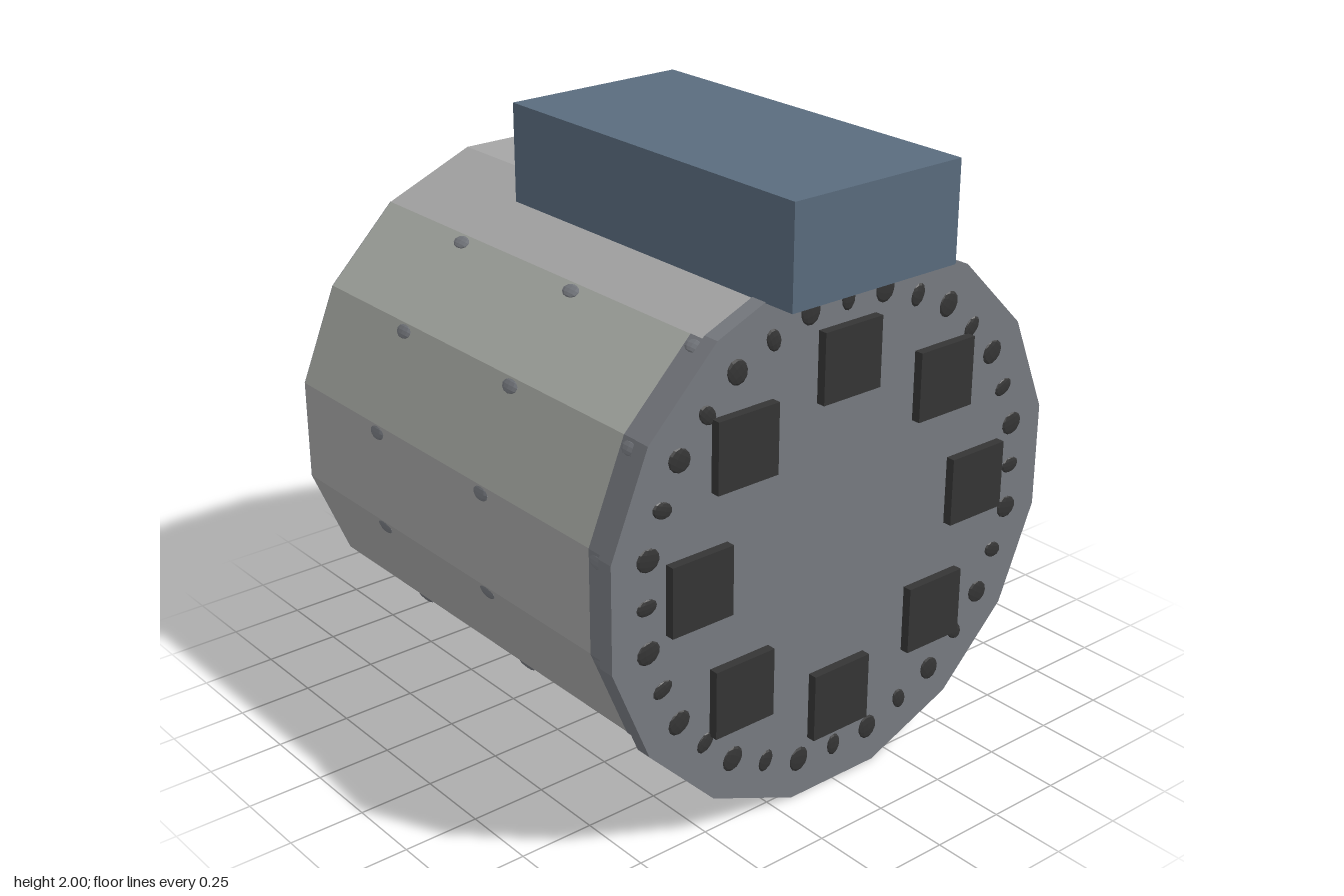
import * as THREE from 'three';

export function createModel() {
  const root = new THREE.Group();
  const mat = (name, color, extra = {}) => {
    const m = new THREE.MeshStandardMaterial({ color, flatShading: true, ...extra });
    m.name = name;
    return m;
  };
  const bodyGrey = mat('bodyGrey', 0xa6a6a6);
  const paleGreenGrey = mat('paleGreenGrey', 0xa9aca6);
  const plateGrey = mat('plateGrey', 0x787b81, { side: THREE.DoubleSide });
  const blue = mat('steelBlue', 0x5a6c7e);
  const dark = mat('darkGrey', 0x353535);

  const CY = 0.873, SIDES = 16, STEP = Math.PI / 8, HALF = Math.PI / 16;
  const add = (name, geo, material, x, y, z, parent = root) => {
    const m = new THREE.Mesh(geo, material);
    m.name = name;
    m.position.set(x, y, z);
    parent.add(m);
    return m;
  };
  const group = (name) => {
    const g = new THREE.Group();
    g.name = name;
    g.position.y = CY;
    root.add(g);
    return g;
  };
  // Sixteen-sided drum lying along z, with flats at top, bottom and sides
  const drum = (r, z0, z1) =>
    new THREE.CylinderGeometry(r, r, z1 - z0, SIDES, 1, false, HALF).rotateX(Math.PI / 2);

  // Main drum, with four paler facets on the upper sides
  const bodyGeo = drum(0.862, -0.89, 0.73);
  const caps = bodyGeo.groups.slice(1);
  bodyGeo.clearGroups();
  for (let i = 0; i < SIDES; i++) bodyGeo.addGroup(i * 6, 6, [4, 5, 9, 10].includes(i) ? 1 : 0);
  caps.forEach((c) => bodyGeo.addGroup(c.start, c.count, 0));
  add('drumBody', bodyGeo, [bodyGrey, paleGreenGrey], 0, CY, -0.08);

  // Front plate and its half collar
  add('frontPlate', drum(0.888, 0.725, 0.78), plateGrey, 0, CY, 0.7525);
  const collar = new THREE.CylinderGeometry(0.864, 0.864, 0.075, 8, 1, true, HALF + 9 * STEP, Math.PI);
  add('halfCollar', collar.rotateX(Math.PI / 2), plateGrey, 0, CY, 0.6875);

  // Narrow strip along one side of the back
  const strip = new THREE.RingGeometry(0.83, 0.862, 5, 1, -2.5 * STEP, 5 * STEP).rotateY(Math.PI);
  add('backEdgeStrip', strip, plateGrey, 0, CY, -0.892);

  // Top box
  add('topBox', new THREE.BoxGeometry(0.64, 0.32, 1.29), blue, 0, 1.84, 0.245);

  // Eight square pads in a circle
  const pads = group('squarePads');
  const padGeo = new THREE.BoxGeometry(0.226, 0.226, 0.035);
  for (let i = 0; i < 8; i++) {
    const a = (i * Math.PI) / 4;
    add('pad', padGeo, dark, 0.563 * Math.cos(a), 0.563 * Math.sin(a), 0.7925, pads);
  }

  // Flattened rivet heads, turned so that local x is radial
  const dome = new THREE.SphereGeometry(1, 10, 6);
  const rivet = (parent, material, a, r, z, sx, sy, sz) => {
    const m = add('rivet', dome, material, r * Math.cos(a), r * Math.sin(a), z, parent);
    m.rotation.z = a;
    m.scale.set(sx, sy, sz);
  };

  // Ring of rivets on the front plate
  const frontRivets = group('frontRivets');
  for (let i = 0; i < 32; i++) {
    const odd = i % 2;
    rivet(frontRivets, dark, i * HALF, odd ? 0.755 : 0.746, 0.78,
      odd ? 0.042 : 0.037, odd ? 0.037 : 0.026, 0.006);
  }

  // Rows of rivets along the drum, the second half turned end for end
  const sideRivets = group('sideRivets');
  for (let k = -2; k < 5; k++) {
    const a = 0.168 + (k - 1) * STEP;
    for (const z of [0.45, -0.12, -0.685]) {
      rivet(sideRivets, plateGrey, a, 0.856, z, 0.008, 0.025, 0.038);
      rivet(sideRivets, plateGrey, Math.PI - a, 0.856, -z, 0.008, 0.025, 0.038);
    }
  }

  // Rivets scattered over the back
  const backRivets = group('backRivets');
  const spots = [
    [0.37, 0.57], [0.17, 0.68], [-0.06, 0.66], [-0.33, 0.61], [0.56, 0.44], [0.67, 0.15],
    [0.22, 0.25], [0.29, 0.14], [-0.08, 0.14], [-0.46, 0.14], [0.32, -0.1], [0.58, -0.35],
  ];
  for (const [x, y] of spots) {
    add('rivet', dome, plateGrey, x, y, -0.89, backRivets).scale.set(0.023, 0.023, 0.005);
  }
  return root;
}
